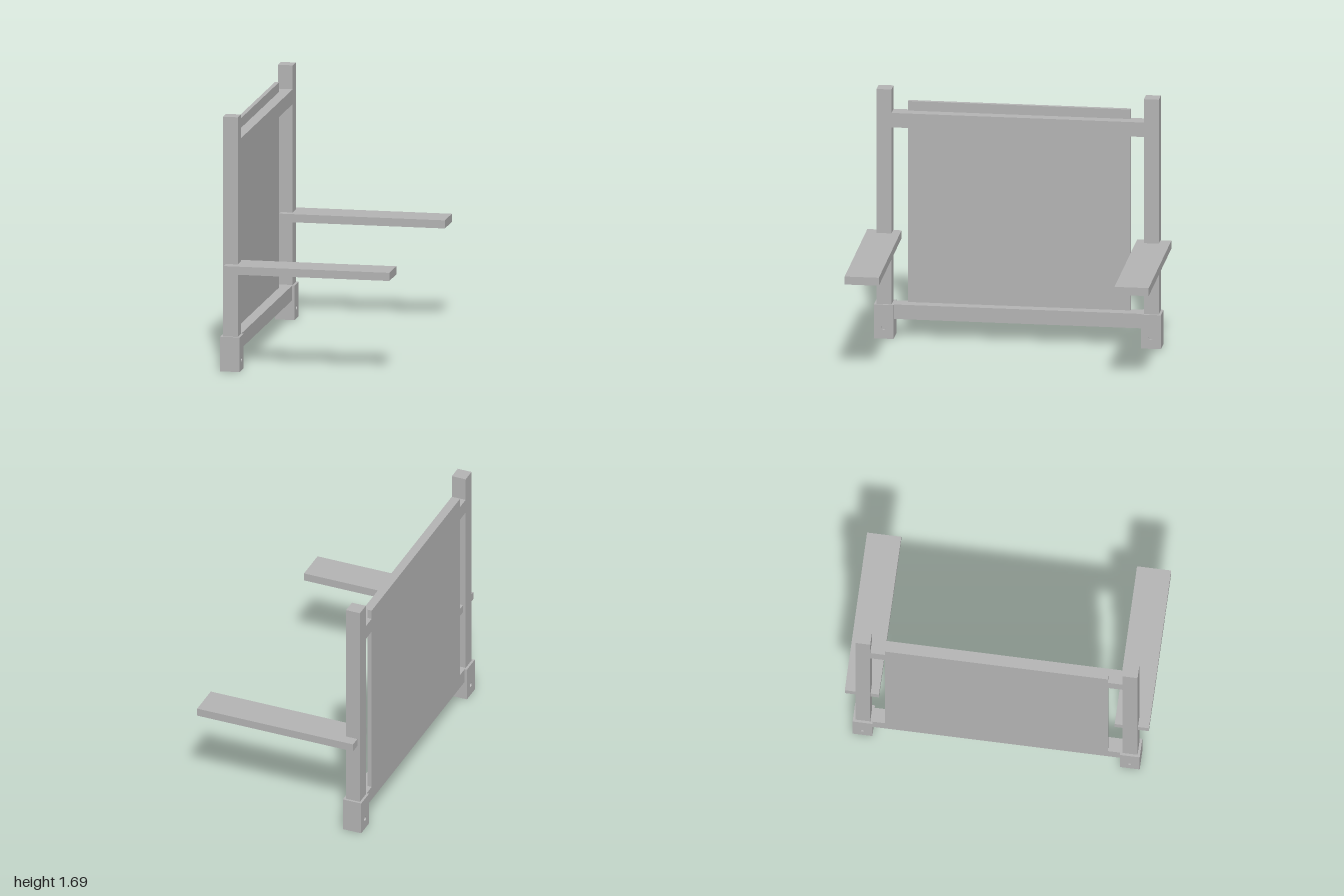
import * as THREE from 'three';

export function createModel() {
  const group = new THREE.Group();
  group.name = 'postFrame';
  const grey = new THREE.MeshStandardMaterial({ color: 0xb2b2b2 });
  grey.name = 'plainGrey';

  const add = (name, geometry, parent = group) => {
    const mesh = new THREE.Mesh(geometry, grey);
    mesh.name = name;
    parent.add(mesh);
    return mesh;
  };
  // Box given by its limits on each axis
  const box = (name, x0, x1, y0, y1, z0, z1, parent) =>
    add(name, new THREE.BoxGeometry(x1 - x0, y1 - y0, z1 - z0), parent)
      .position.set((x0 + x1) / 2, (y0 + y1) / 2, (z0 + z1) / 2);

  const back = -0.555, front = -0.457, panelFront = -0.527;
  const panelHalf = 0.732, railHalf = 0.832;

  // Back panel, let into the rear of the rails
  box('backPanel', back, panelFront, 0.132, 1.595, -panelHalf, panelHalf);

  // Cross rails with a rebate for the panel (plan drawn as x, -z)
  const plan = new THREE.Shape([
    [front, -railHalf], [front, railHalf], [back, railHalf], [back, panelHalf],
    [panelFront, panelHalf], [panelFront, -panelHalf], [back, -panelHalf], [back, -railHalf],
  ].map(([x, y]) => new THREE.Vector2(x, y)));
  for (const [name, y] of [['lowerRail', 0.132], ['upperRail', 1.433]]) {
    const rail = new THREE.ExtrudeGeometry(plan, { depth: 0.098, bevelEnabled: false });
    rail.rotateX(-Math.PI / 2);
    add(name, rail).position.y = y;
  }

  // Socket wall facing along x, with a round bolt hole
  const wall = 0.016, socketHalf = 0.065, socketTop = 0.23;
  const plate = new THREE.Shape([
    [-socketHalf, 0], [socketHalf, 0], [socketHalf, socketTop], [-socketHalf, socketTop],
  ].map(([x, y]) => new THREE.Vector2(x, y)));
  plate.holes.push(new THREE.Path().absarc(0, 0.074, 0.015, 0, Math.PI * 2, true));

  for (const side of [1, -1]) {
    const prefix = side > 0 ? 'near' : 'far';
    const zc = side * 0.879;

    // Upright post, ending part way down its socket
    box(prefix + 'Post', back, front, 0.132, 1.69, zc - 0.049, zc + 0.049);

    // Hollow foot socket made of four walls
    const socket = new THREE.Group();
    socket.name = prefix + 'Socket';
    socket.position.set(-0.506, 0, zc);
    group.add(socket);
    for (const s of [1, -1]) {
      const geometry = new THREE.ExtrudeGeometry(plate, { depth: wall, bevelEnabled: false, curveSegments: 20 });
      geometry.translate(0, 0, -wall / 2);
      geometry.rotateY(Math.PI / 2);
      add('drilledWall', geometry, socket).position.x = s * (socketHalf - wall / 2);
      const z = s * (socketHalf - wall / 2);
      box('sideWall', wall - socketHalf, socketHalf - wall, 0, socketTop, z - wall / 2, z + wall / 2, socket);
    }

    // Flat arm fixed round the post
    box(prefix + 'Arm', -0.537, 0.567, 0.658, 0.712, side * 0.8875 - 0.1125, side * 0.8875 + 0.1125);
  }
  return group;
}
